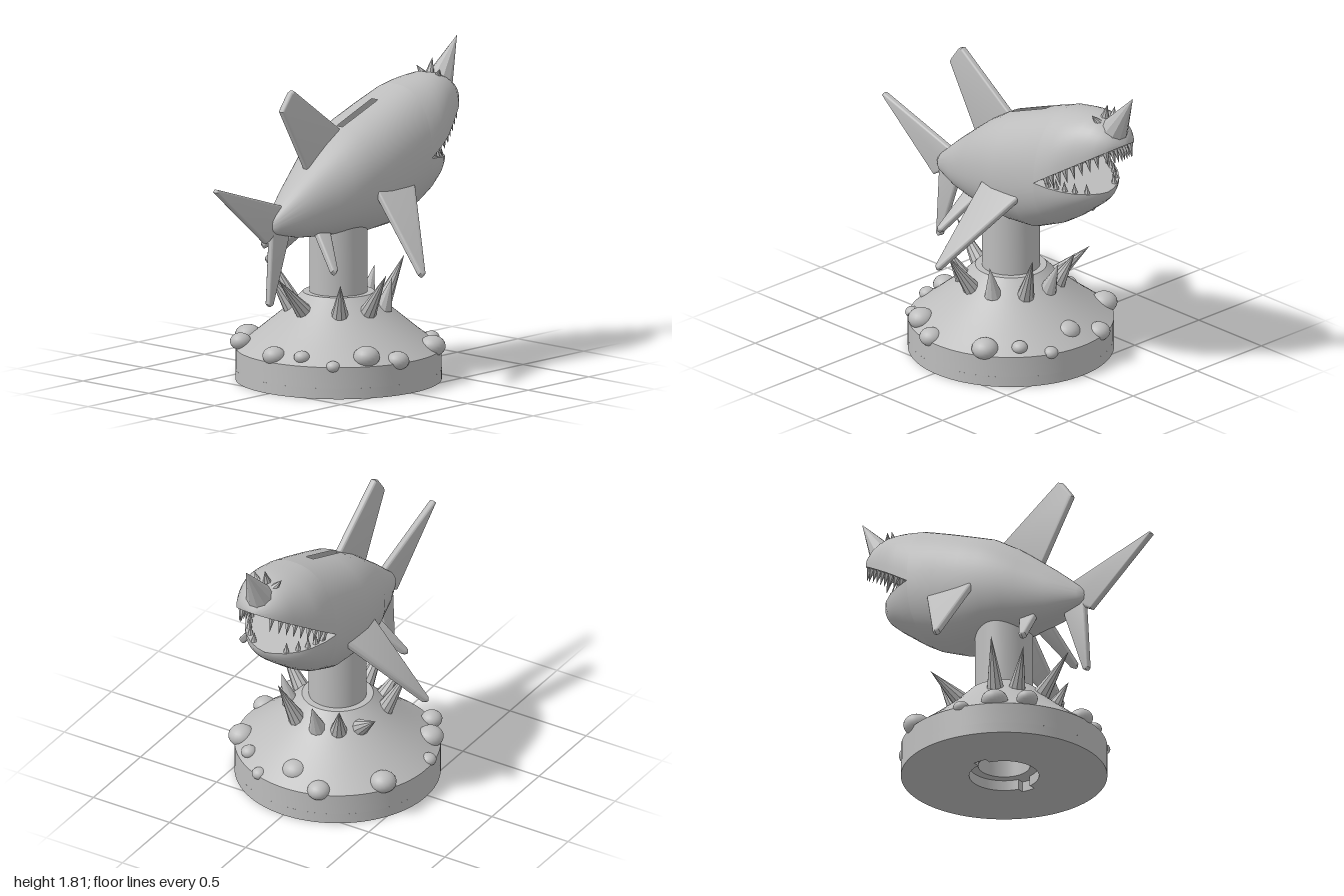
import * as THREE from 'three';
import { toCreasedNormals } from 'three/addons/utils/BufferGeometryUtils.js';

const grey = new THREE.MeshStandardMaterial({ color: 0xbdbdbd, side: THREE.DoubleSide });
grey.name = 'grey';
const CX = 0.022; // axis of the pedestal
const V = (x, y, z) => new THREE.Vector3(x, y, z);

function add(parent, name, geometry) {
  const mesh = new THREE.Mesh(geometry, grey);
  mesh.name = name;
  parent.add(mesh);
  return mesh;
}

// Skin closed rings; skip(i, j) leaves an opening
function loft(rings, skip = () => false) {
  const n = rings[0].length, index = [];
  for (let i = 0; i < rings.length - 1; i++) {
    for (let j = 0; j < n; j++) {
      if (skip(i, j)) continue;
      const k = (j + 1) % n, a = i * n + j, b = a + n, c = (i + 1) * n + k, d = i * n + k;
      index.push(a, b, c, a, c, d);
    }
  }
  const g = new THREE.BufferGeometry().setFromPoints(rings.flat());
  g.setIndex(index);
  return toCreasedNormals(g, 0.6);
}

// Part of an oval section at x, with separate heights above and below cy
const N = 27;
function section(x, top, bottom, cy, w, from, to) {
  const ring = [];
  for (let j = from; j <= to; j++) {
    const t = j * Math.PI / N, c = Math.cos(t), s = Math.sin(t);
    const z = w * Math.sign(c) * Math.abs(c) ** 0.88;
    const y = cy + (s > 0 ? top - cy : cy - bottom) * Math.sign(s) * Math.abs(s) ** 0.92;
    ring.push(V(x, y, z));
  }
  return ring;
}

// Faceted cone between two points
function spike(parent, name, base, tip, radius, sides = 8) {
  const d = tip.clone().sub(base), h = d.length();
  const g = new THREE.ConeGeometry(radius, h, sides).translate(0, h / 2, 0);
  const m = add(parent, name, toCreasedNormals(g, 0.2));
  m.position.copy(base);
  m.quaternion.setFromUnitVectors(V(0, 1, 0), d.normalize());
}

// Flat fin with softened edges
function fin(parent, name, pts) {
  const shape = new THREE.Shape(pts.map(p => new THREE.Vector2(...p)));
  const g = new THREE.ExtrudeGeometry(shape, {
    depth: 0.016, bevelEnabled: true, bevelThickness: 0.012, bevelSize: 0.012, bevelOffset: -0.012, bevelSegments: 3,
  }).translate(0, 0, -0.008);
  return add(parent, name, toCreasedNormals(g, 0.6));
}

const upperLip = x => 1.225 + (x - 0.49) * 0.636;
const lowerLip = x => 1.225 - (x - 0.49) * 0.147;

// x, top, bottom, half width
const TRUNK = [
  [-0.55, 0.965, 0.945, 0.003], [-0.54, 0.99, 0.92, 0.03], [-0.51, 1.022, 0.902, 0.055], [-0.34, 1.168, 0.86, 0.135],
  [-0.18, 1.295, 0.845, 0.2], [-0.1, 1.355, 0.843, 0.235], [0.03, 1.437, 0.835, 0.268], [0.15, 1.483, 0.826, 0.285],
  [0.32, 1.548, 0.838, 0.287], [0.49, 1.61, 0.91, 0.282],
];
// x, top, half width
const UPPER = [
  [0.49, 1.61, 0.282], [0.59, 1.627, 0.274], [0.65, 1.635, 0.258], [0.73, 1.642, 0.22], [0.79, 1.633, 0.188],
  [0.84, 1.612, 0.16], [0.89, 1.58, 0.115], [0.915, 1.55, 0.075], [0.93, 1.518, 0.03], [0.934, 1.508, 0.002],
];
// x, bottom, half width
const LOWER = [
  [0.49, 0.91, 0.282], [0.57, 0.96, 0.262], [0.65, 1.02, 0.222], [0.71, 1.066, 0.175],
  [0.76, 1.11, 0.11], [0.785, 1.148, 0.055], [0.797, 1.178, 0.003],
];

// Half width read along a table of stations
function widthAt(table, x) {
  const i = Math.max(1, table.findIndex(s => s[0] >= x)), a = table[i - 1], b = table[i];
  return THREE.MathUtils.lerp(a[2], b[2], (x - a[0]) / (b[0] - a[0]));
}

function buildPedestal() {
  const g = new THREE.Group();
  g.name = 'pedestal';
  g.position.x = CX;

  // Foot plate with a keyed opening
  const disc = new THREE.Shape().absarc(0, 0, 0.577, 0, Math.PI * 2);
  const hole = new THREE.Path(), key = 0.2;
  for (const side of [1, -1]) {
    const mid = side * Math.PI / 2;
    hole.absarc(0, 0, 0.195, mid - Math.PI + key, mid - key);
    hole.absarc(0, 0, 0.235, mid - key * 0.85, mid + key * 0.85);
  }
  disc.holes.push(hole);
  const plate = new THREE.ExtrudeGeometry(disc, { depth: 0.06, bevelEnabled: false, curveSegments: 48 });
  add(g, 'footPlate', toCreasedNormals(plate.rotateX(-Math.PI / 2), 0.5));

  // Drum, sloping shoulder and hollow column
  const profile = [[0.577, 0.06], [0.577, 0.18], [0.46, 0.268], [0.3, 0.4], [0.2, 0.5], [0.162, 0.5], [0.162, 0.95],
    [0.145, 0.95], [0.145, 0.06], [0.25, 0.06]].map(p => new THREE.Vector2(...p));
  add(g, 'drumAndColumn', toCreasedNormals(new THREE.LatheGeometry(profile, 80), 0.4));
  return g;
}

function buildPedestalTrim(root) {
  // Round studs: x, y, z, radius
  const studs = [
    [-0.235, 0.225, -0.45, 0.075], [0.29, 0.21, -0.465, 0.075], [-0.395, 0.225, -0.36, 0.06], [-0.07, 0.19, -0.54, 0.045],
    [-0.47, 0.22, 0.175, 0.045], [-0.406, 0.18, 0.353, 0.04], [-0.235, 0.225, 0.45, 0.075], [-0.07, 0.19, 0.535, 0.065],
    [0.29, 0.21, 0.465, 0.075], [0.43, 0.22, 0.33, 0.045], [0.47, 0.23, 0, 0.075], [0.54, 0.18, 0.195, 0.042],
    [0.53, 0.19, -0.19, 0.065], [-0.51, 0.21, 0, 0.065],
  ];
  for (const [x, y, z, r] of studs) {
    const m = add(root, 'stud', new THREE.SphereGeometry(r, 20, 14));
    m.position.set(x, y, z);
    m.scale.y = 0.8;
  }
  // Leaning spikes, listed by tip
  const tips = [
    [-0.05, 0.66, 0.43], [0.15, 0.6, 0.29], [0.375, 0.68, 0.175], [0.36, 0.59, -0.04], [0.25, 0.56, -0.39],
    [-0.15, 0.68, -0.365], [-0.29, 0.62, -0.25], [-0.445, 0.63, -0.03], [-0.24, 0.605, 0.255], [0.33, 0.6, -0.2],
  ];
  for (const [x, y, z] of tips) {
    const a = Math.atan2(z, x - CX);
    spike(root, 'shoulderSpike', V(CX + 0.265 * Math.cos(a), 0.415, 0.265 * Math.sin(a)), V(x, y, z), 0.05, 10);
  }
}

function buildFish() {
  const g = new THREE.Group();
  g.name = 'fish';

  // Trunk, with a slot on the back and an opening into the column
  const rings = TRUNK.map(([x, t, b, w], i) =>
    section(x, t, b, i === TRUNK.length - 1 ? 1.225 : (t + b) / 2, w, 0, 2 * N - 1));
  const slot = (i, j) => i >= 6 && i <= 7 && j === 13;
  const outlet = (i, j) => i >= 5 && i <= 6 && Math.abs(j - 40) <= 2;
  add(g, 'trunk', loft(rings, (i, j) => slot(i, j) || outlet(i, j)));

  // Jaws with flat inner faces
  add(g, 'upperJaw', loft(UPPER.map(([x, t, w]) => section(x, t, 0, upperLip(x), w, 0, N))));
  add(g, 'lowerJaw', loft(LOWER.map(([x, b, w]) => section(x, 2, b, lowerLip(x), w, N, 2 * N))));

  // Teeth along both lips
  for (const side of [1, -1]) {
    for (let i = 0; i < 9; i++) {
      const x = 0.545 + i * 0.041, y = upperLip(x) + 0.01;
      const z = side * (widthAt(UPPER, x) - 0.035);
      spike(g, 'upperTooth', V(x, y, z), V(x + 0.025, y - 0.08, z), 0.02, 6);
    }
    for (let i = 0; i < 5; i++) {
      const x = 0.56 + i * 0.045, y = lowerLip(x) - 0.008;
      const z = side * (widthAt(LOWER, x) - 0.03);
      spike(g, 'lowerTooth', V(x, y, z), V(x - 0.005, y + 0.065, z), 0.019, 6);
    }
  }

  // Fins on the centre line
  fin(g, 'dorsalFin', [[-0.455, 1.59], [-0.445, 1.61], [-0.385, 1.69], [-0.36, 1.7], [-0.345, 1.69], [0.02, 1.425], [-0.05, 1.3], [-0.24, 1.21]]);
  fin(g, 'upperTailFin', [[-1, 1.215], [-0.985, 1.23], [-0.46, 1.06], [-0.47, 0.95], [-0.54, 0.885], [-0.585, 0.86]]);
  fin(g, 'lowerTailFin', [[-0.54, 0.93], [-0.565, 0.51], [-0.55, 0.495], [-0.528, 0.505], [-0.4, 0.87], [-0.41, 0.93]]);

  // Paired fins, sloping outward and down
  for (const side of [1, -1]) {
    const pectoral = fin(g, 'pectoralFin', [[0.06, 0.05], [0.34, 0.03], [0.357, 0.01], [0.35, -0.01], [0.075, -0.53], [0.055, -0.54], [0.04, -0.52]]);
    pectoral.position.set(0, 1.075, side * 0.265);
    pectoral.rotation.x = -side * Math.atan2(0.34, 0.41);
    const pelvic = fin(g, 'pelvicFin', [[-0.25, 0.06], [-0.14, 0.06], [-0.165, -0.01], [-0.265, -0.23], [-0.29, -0.245], [-0.305, -0.225]]);
    pelvic.position.set(0, 0.86, side * 0.1);
    pelvic.rotation.x = -side * Math.atan2(0.15, 0.17);
    spike(g, 'sideHorn', V(0.785, 1.6, side * 0.045), V(0.76, 1.665, side * 0.09), 0.03);
  }

  // Horns on the snout
  spike(g, 'snoutHorn', V(0.85, 1.575, 0), V(0.998, 1.812, 0), 0.08, 10);
  spike(g, 'smallHorn', V(0.77, 1.615, 0), V(0.795, 1.715, 0), 0.03);
  return g;
}

export function createModel() {
  const model = new THREE.Group();
  model.name = 'hornedFishOnPedestal';
  model.add(buildPedestal(), buildFish());
  buildPedestalTrim(model);
  return model;
}
